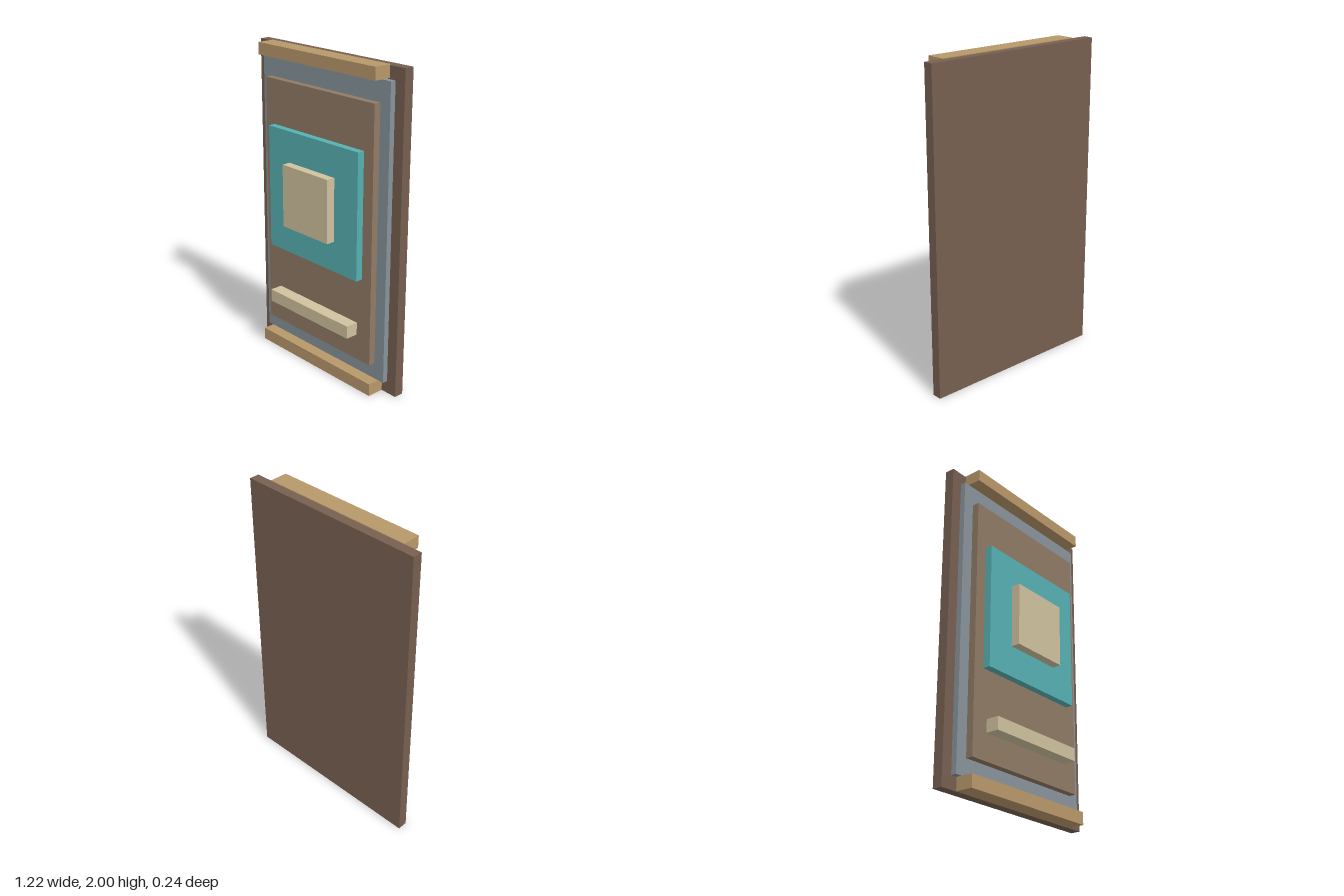
import * as THREE from 'three';

// Box given by half width and its y and z extents, centred on x = 0
function slab(name, color, halfWidth, [y0, y1], [z0, z1]) {
  const mesh = new THREE.Mesh(
    new THREE.BoxGeometry(halfWidth * 2, y1 - y0, z1 - z0),
    new THREE.MeshStandardMaterial({ color })
  );
  mesh.position.set(0, (y0 + y1) / 2, (z0 + z1) / 2);
  mesh.name = name;
  return mesh;
}

export function createModel() {
  const group = new THREE.Group();
  group.name = 'layeredPanel';

  const brown = 0x765f50, grey = 0x87939a, tan = 0x907a65;
  const teal = 0x56b0b2, cream = 0xd0c29f, wood = 0xb8986a;

  group.add(
    // Stacked layers, back to front
    slab('backBoard', brown, 0.61, [0, 1.995], [-0.122, -0.06]),
    slab('greyBorder', grey, 0.54, [0.08, 1.918], [-0.06, -0.025]),
    slab('innerPanel', tan, 0.465, [0.185, 1.79], [-0.025, 0.02]),
    slab('tealSquare', teal, 0.39, [0.725, 1.508], [0.02, 0.066]),
    slab('centreSquare', cream, 0.198, [0.917, 1.313], [0.066, 0.122]),
    // Raised bar under the square
    slab('lowerBar', cream, 0.354, [0.35, 0.43], [0.02, 0.102]),
    // Rails across the top and bottom edges
    slab('topRail', wood, 0.497, [1.925, 2], [-0.065, 0.05]),
    slab('bottomRail', wood, 0.497, [0.001, 0.08], [-0.065, 0.05])
  );
  return group;
}
